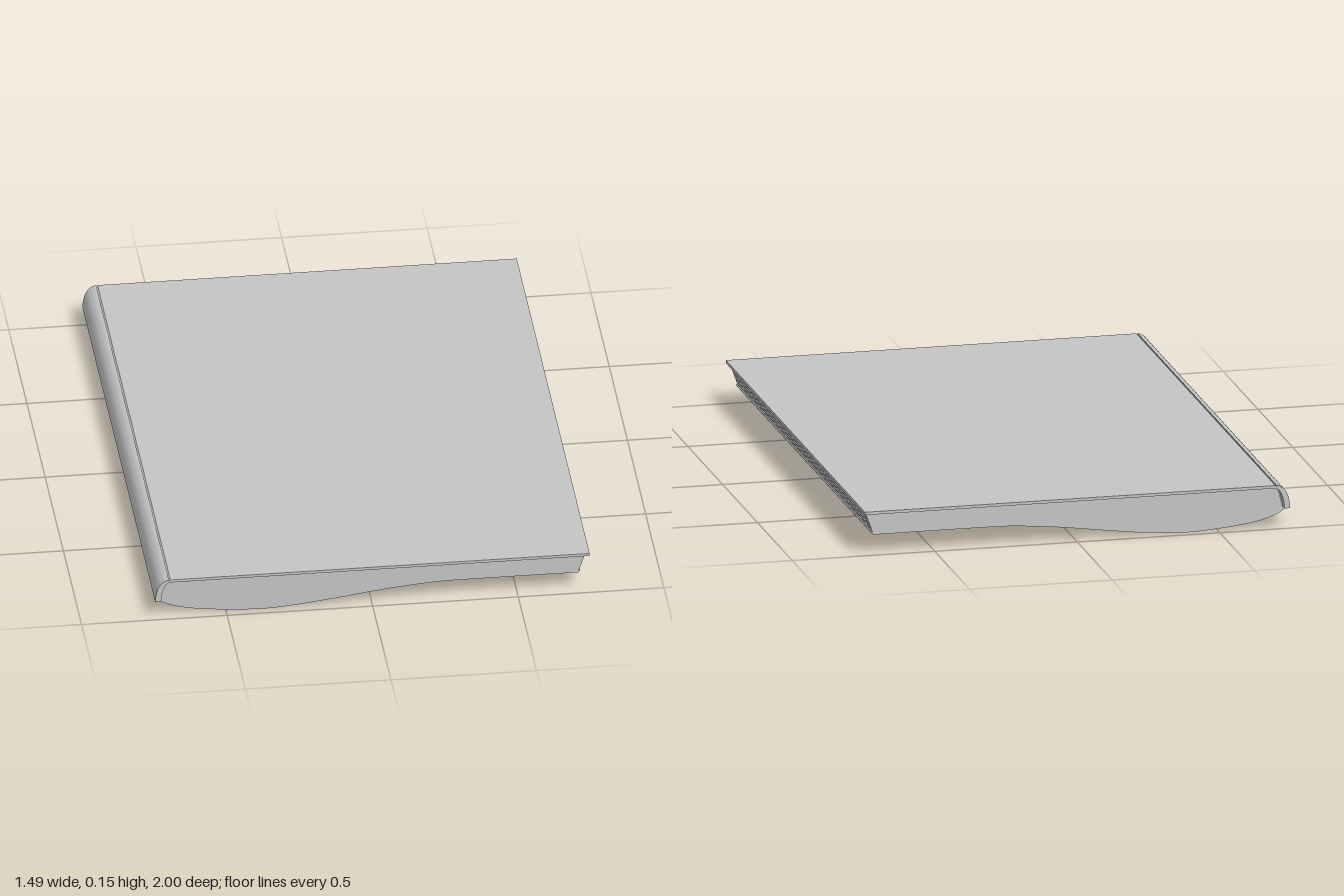
import * as THREE from 'three';
import { toCreasedNormals } from 'three/addons/utils/BufferGeometryUtils.js';

export function createModel() {
  const book = new THREE.Group();
  book.name = 'openBookHalf';
  const grey = new THREE.MeshStandardMaterial({ name: 'plain grey', color: 0xc4c4c4 });

  // Extrudes an x-y outline along z, centred, with smooth curved sides
  function slab(name, shape, depth) {
    const geo = new THREE.ExtrudeGeometry(shape, { depth, bevelEnabled: false, curveSegments: 16 });
    geo.translate(0, 0, -depth / 2);
    const mesh = new THREE.Mesh(toCreasedNormals(geo, 0.5), grey);
    mesh.name = name;
    book.add(mesh);
  }
  const outline = pts => new THREE.Shape(pts.map(p => new THREE.Vector2(p[0], p[1])));

  // Cover board, with a shallow hinge groove beside the spine
  slab('cover', outline([
    [-0.7, 0.145], [0.745, 0.145], [0.745, 0.155], [-0.695, 0.155], [-0.7, 0.151],
  ]), 2);

  // Rounded spine
  const spine = new THREE.Shape();
  spine.moveTo(-0.7, 0.155);
  spine.bezierCurveTo(-0.735, 0.15, -0.745, 0.11, -0.747, 0.072);
  spine.lineTo(-0.727, 0.072);
  spine.bezierCurveTo(-0.725, 0.1, -0.72, 0.13, -0.7, 0.145);
  spine.closePath();
  slab('spine', spine, 2);

  // Flat page bundles, stepping back from the cover
  const bundles = 5, top = 0.145, bottom = 0.075;
  const step = (top - bottom) / bundles;
  for (let i = 0; i < bundles; i++) {
    const y = top - i * step;
    const left = -0.702 - 0.024 * Math.sqrt((i + 0.5) / bundles);
    const right = 0.737 - i * 0.005;
    slab('pageBundle', outline([
      [left, y - step], [right - 0.006, y - step], [right, y], [left, y],
    ]), 1.94);
  }

  // Bowed loose pages, fanning out beneath the flat bundles
  const sag = [[-0.745, 0.071], [-0.7, 0.043], [-0.62, 0.021], [-0.5, 0.007], [-0.38, 0.001],
    [-0.27, 0.007], [-0.12, 0.025], [0.05, 0.048], [0.2, 0.062], [0.32, 0.0655], [0.71, 0.0655]];
  const curve = new THREE.SplineCurve(sag.map(p => new THREE.Vector2(p[0], p[1]))).getPoints(50);
  const fan = 4;
  const level = t => curve.map(p => [p.x, 0.075 + (p.y - 0.075) * t]);
  for (let i = 0; i < fan; i++) {
    const lower = level((i + 1) / fan), upper = level(i / fan);
    const shift = (fan - 1 - i) * 0.002;
    lower[lower.length - 1][0] += shift;
    upper[upper.length - 1][0] += shift;
    slab('bowedPages', outline([...lower, ...upper.reverse()]), 1.94);
  }

  return book;
}
